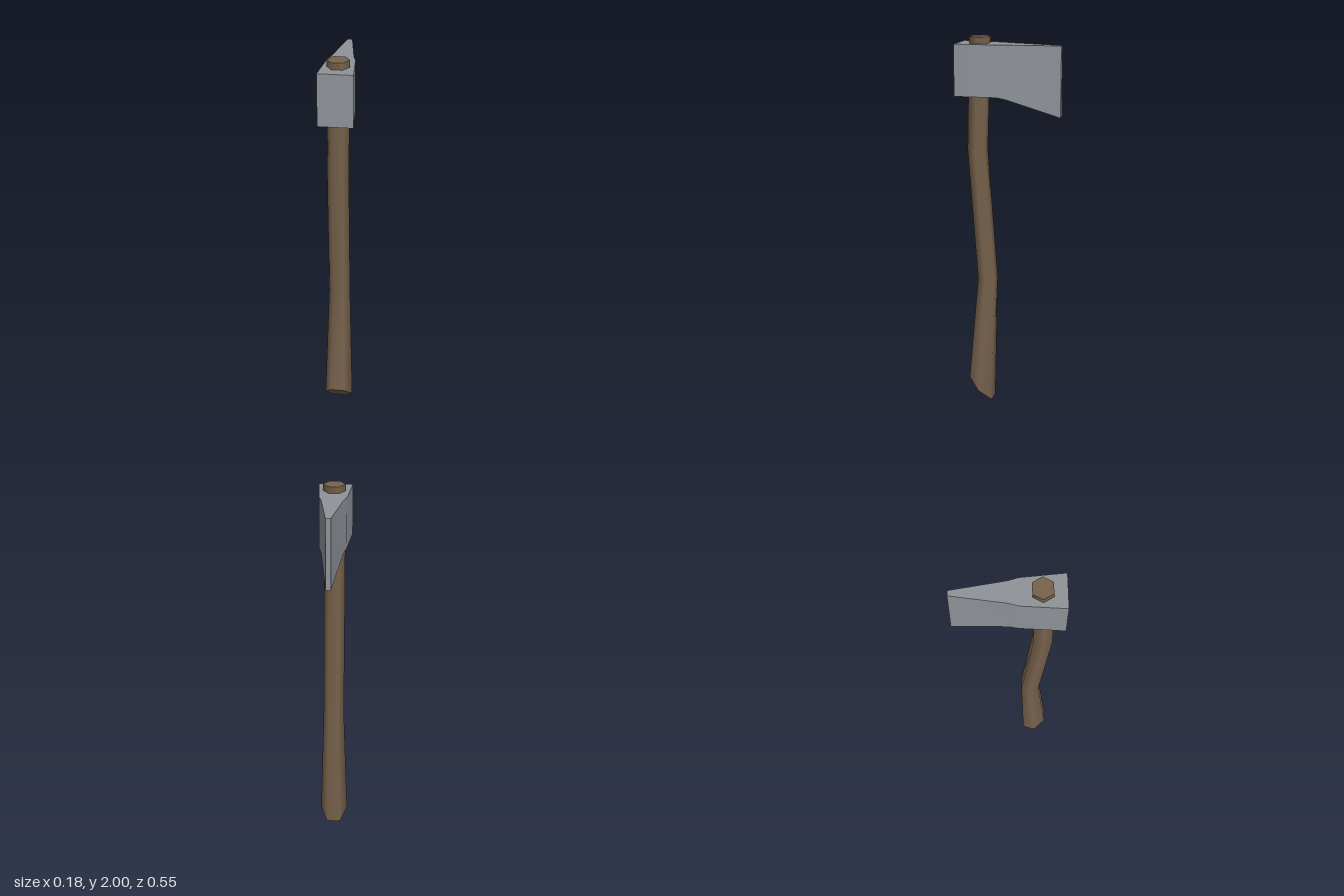
import * as THREE from 'three';
import { toCreasedNormals } from 'three/addons/utils/BufferGeometryUtils.js';

// Skin a list of rings (each counter-clockwise seen from the last ring's end) and cap both ends.
function loft(rings) {
  const n = rings[0].length;
  const first = rings[0], last = rings[rings.length - 1];
  const points = [...rings, first, last].flat(); // caps get their own corners
  const index = [];
  for (let i = 0; i < rings.length - 1; i++) {
    for (let j = 0; j < n; j++) {
      const a = i * n + j, b = i * n + (j + 1) % n;
      index.push(a, b, b + n, a, b + n, a + n);
    }
  }
  const start = rings.length * n, end = start + n;
  for (let j = 1; j < n - 1; j++) {
    index.push(start, start + j + 1, start + j, end, end + j, end + j + 1);
  }
  const geometry = new THREE.BufferGeometry();
  geometry.setAttribute('position', new THREE.Float32BufferAttribute(points.flat(), 3));
  geometry.setIndex(index);
  geometry.computeVertexNormals();
  return geometry;
}

export function createModel() {
  const wood = new THREE.MeshStandardMaterial({ color: 0x78624c });
  wood.name = 'brown wood';
  const steel = new THREE.MeshStandardMaterial({ color: 0x8f9399 });
  steel.name = 'grey steel';

  // Curved six-sided handle: height, centre z, corner radius in x, half depth in z, slant of the cut
  const handleSections = [
    [0.06, 0.158, 0.075, 0.063, 0.95],
    [0.7, 0.123, 0.056, 0.047, 0],
    [1.41, 0.175, 0.055, 0.047, 0],
    [2, 0.158, 0.057, 0.049, 0],
  ];
  const handleRings = handleSections.map(([y, cz, rx, rz, slant]) =>
    Array.from({ length: 6 }, (_, j) => {
      const a = (j * Math.PI) / 3;
      const dz = (-Math.sin(a) * rz) / Math.sin(Math.PI / 3);
      return [Math.cos(a) * rx, y + slant * dz, cz + dz];
    }));
  const handle = new THREE.Mesh(loft(handleRings), wood);
  handle.name = 'handle';

  // Wedge-shaped head from cutting edge to poll: z, half width, underside height
  const headTop = 1.965;
  const headSections = [
    [-0.273, 0.013, 1.6],
    [0.003, 0.056, 1.687],
    [0.05, 0.07, 1.698],
    [0.272, 0.088, 1.698],
  ];
  const headRings = headSections.map(([z, w, bottom]) => [
    [w, headTop, z], [-w, headTop, z], [-w, bottom, z], [w, bottom, z],
  ]);
  const head = new THREE.Mesh(toCreasedNormals(loft(headRings), 0.6), steel);
  head.name = 'axeHead';

  const axe = new THREE.Group();
  axe.name = 'axe';
  axe.add(handle, head);
  return axe;
}
